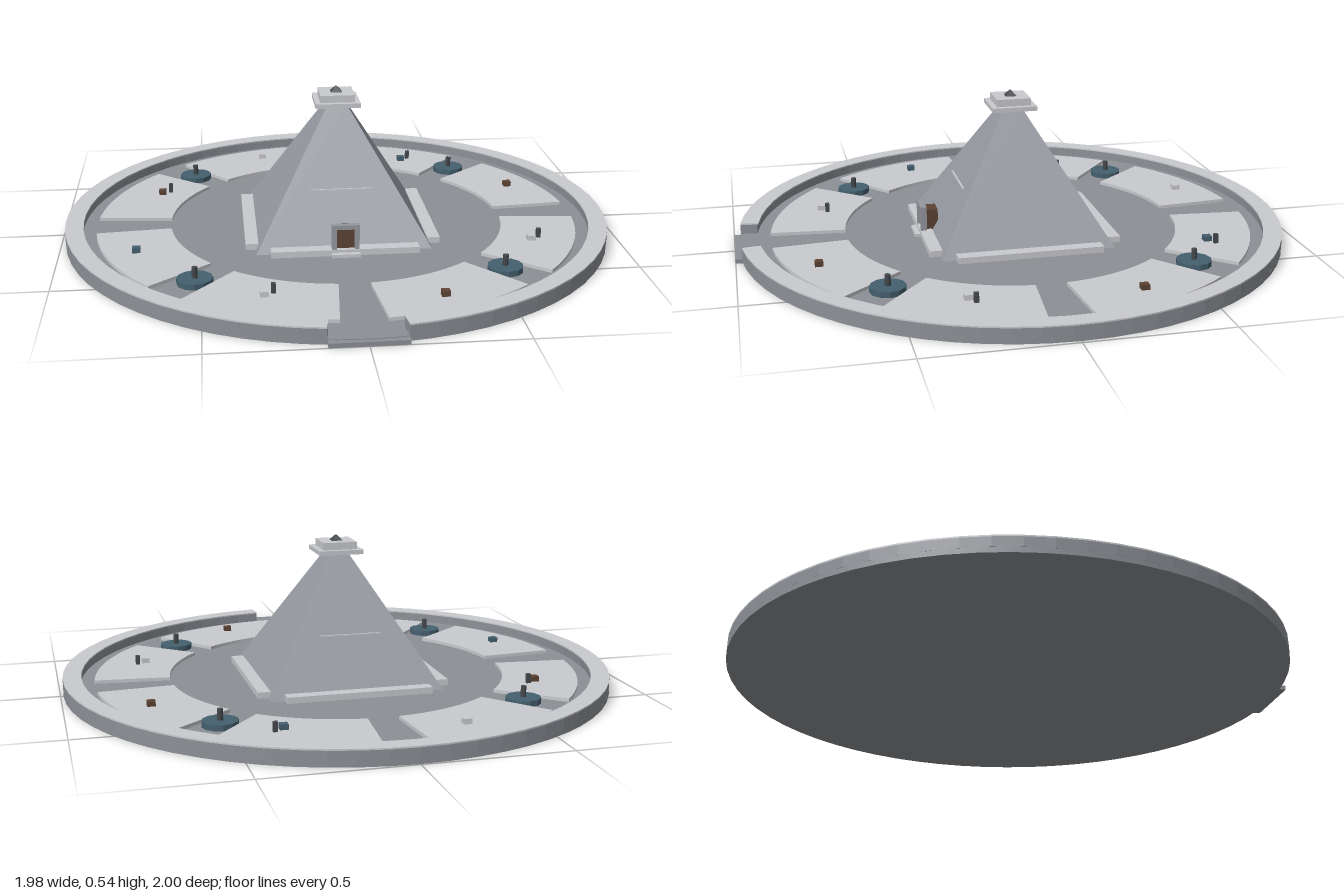
import * as THREE from 'three';

const mat = (name, color, extra = {}) => {
  const m = new THREE.MeshStandardMaterial({ color, ...extra });
  m.name = name;
  return m;
};

export function createModel() {
  const model = new THREE.Group();
  model.name = 'pyramidPlaza';
  const stone = mat('grey stone', 0x8c9096);
  const pale = mat('pale stone', 0xc9cace);
  const pyramidStone = mat('pyramid stone', 0x95989f);
  const blue = mat('slate blue', 0x45606f);
  const brown = mat('brown', 0x5c4334);
  const dark = mat('dark metal', 0x46484c);

  const site = new THREE.Group();
  site.name = 'site';
  site.position.z = -0.006;
  model.add(site);

  const add = (name, geo, material, x = 0, y = 0, z = 0) => {
    const m = new THREE.Mesh(geo, material);
    m.name = name;
    m.position.set(x, y, z);
    site.add(m);
    return m;
  };
  // Box standing on height y
  const box = (name, material, w, h, d, x, y, z) =>
    add(name, new THREE.BoxGeometry(w, h, d), material, x, y + h / 2, z);
  // Flat ring sector, angles counted from +x towards -z
  const sector = (r0, r1, a0, a1, h, segs) => {
    const s = new THREE.Shape();
    s.absarc(0, 0, r1, a0, a1, false);
    s.absarc(0, 0, r0, a1, a0, true);
    const g = new THREE.ExtrudeGeometry(s, { depth: h, bevelEnabled: false, curveSegments: segs });
    return g.rotateX(-Math.PI / 2);
  };

  const FLOOR = 0.018, R = 0.99, PLATE = 0.03;

  // Ground disc and perimeter wall with a gateway at the front
  add('ground', new THREE.CylinderGeometry(R, R, FLOOR, 64), stone, 0, FLOOR / 2, 0);
  const gate = 0.127, a0 = -Math.PI / 2 + gate, a1 = Math.PI * 1.5 - gate;
  add('perimeterWall', sector(0.93, R, a0, a1, 0.034, 32), stone, 0, FLOOR, 0);
  add('wallCoping', sector(0.925, R, a0, a1, 0.005, 32), pale, 0, FLOOR + 0.034, 0);
  box('gateSill', stone, 0.25, 0.015, 0.04, 0, 0, 0.986);

  // Eight raised terrace plates
  for (let q = 0; q < 4; q++) {
    for (const start of [5, 50]) {
      const b = THREE.MathUtils.degToRad(q * 90 + start);
      add('terracePlate', sector(0.61, 0.88, b, b + THREE.MathUtils.degToRad(35), PLATE - FLOOR, 6), pale, 0, FLOOR, 0);
    }
  }

  // Pyramid: four-sided, square to the axes
  const pyramid = (name, material, half, topHalf, h, y) => {
    const g = new THREE.CylinderGeometry(topHalf * Math.SQRT2, half * Math.SQRT2, h, 4, 1).toNonIndexed();
    g.rotateY(Math.PI / 4);
    g.computeVertexNormals();
    return add(name, g, material, 0, y + h / 2, 0);
  };
  pyramid('pyramidBody', pyramidStone, 0.31, 0.035, 0.458, FLOOR);
  box('capLowerSlab', pale, 0.162, 0.016, 0.162, 0, 0.475, 0);
  box('capUpperSlab', pale, 0.124, 0.026, 0.124, 0, 0.491, 0);
  pyramid('capstone', dark, 0.02, 0.002, 0.02, 0.517);

  // Plinth strips along the base, thin ledges on front and back
  for (const s of [-1, 1]) {
    box('plinthStrip', pale, 0.52, 0.022, 0.045, 0, FLOOR, s * 0.323);
    box('plinthStrip', pale, 0.045, 0.022, 0.52, s * 0.323, FLOOR, 0);
    box('faceLedge', pale, 0.22, 0.005, 0.012, 0, 0.207, s * 0.194);
  }

  // Doorway
  for (const s of [-1, 1]) box('doorPost', pyramidStone, 0.016, 0.1, 0.022, s * 0.04, FLOOR, 0.332);
  box('doorLintel', pyramidStone, 0.096, 0.016, 0.022, 0, 0.113, 0.332);
  box('door', brown, 0.064, 0.095, 0.05, 0, FLOOR, 0.303);
  box('doorStep', pale, 0.1, 0.012, 0.03, 0, FLOOR, 0.35);

  // Blue basins with a centre post on the diagonals
  for (const x of [-0.522, 0.522]) {
    for (const z of [-0.527, 0.527]) {
      const basin = new THREE.CylinderGeometry(0.061, 0.061, 0.02, 12).toNonIndexed();
      basin.computeVertexNormals();
      add('basin', basin, blue, x, FLOOR + 0.01, z);
      add('basinPost', new THREE.CylinderGeometry(0.01, 0.01, 0.04, 8), dark, x, 0.056, z);
    }
  }

  // Small blocks on the terraces, every second one with a post beside it
  const blocks = [
    [-0.24, -0.735, pale, false], [0.34, -0.645, blue, true],
    [0.715, -0.285, brown, false], [0.67, 0.29, pale, true],
    [0.28, 0.73, brown, false], [-0.3, 0.675, pale, true],
    [-0.725, 0.265, blue, false], [-0.65, -0.322, brown, true],
  ];
  for (const [x, z, material, post] of blocks) {
    box('terraceBlock', material, 0.028, 0.018, 0.028, x, PLATE, z);
    if (post) box('terracePost', dark, 0.015, 0.033, 0.015, x + 0.031, PLATE, z - 0.021);
  }
  return model;
}
